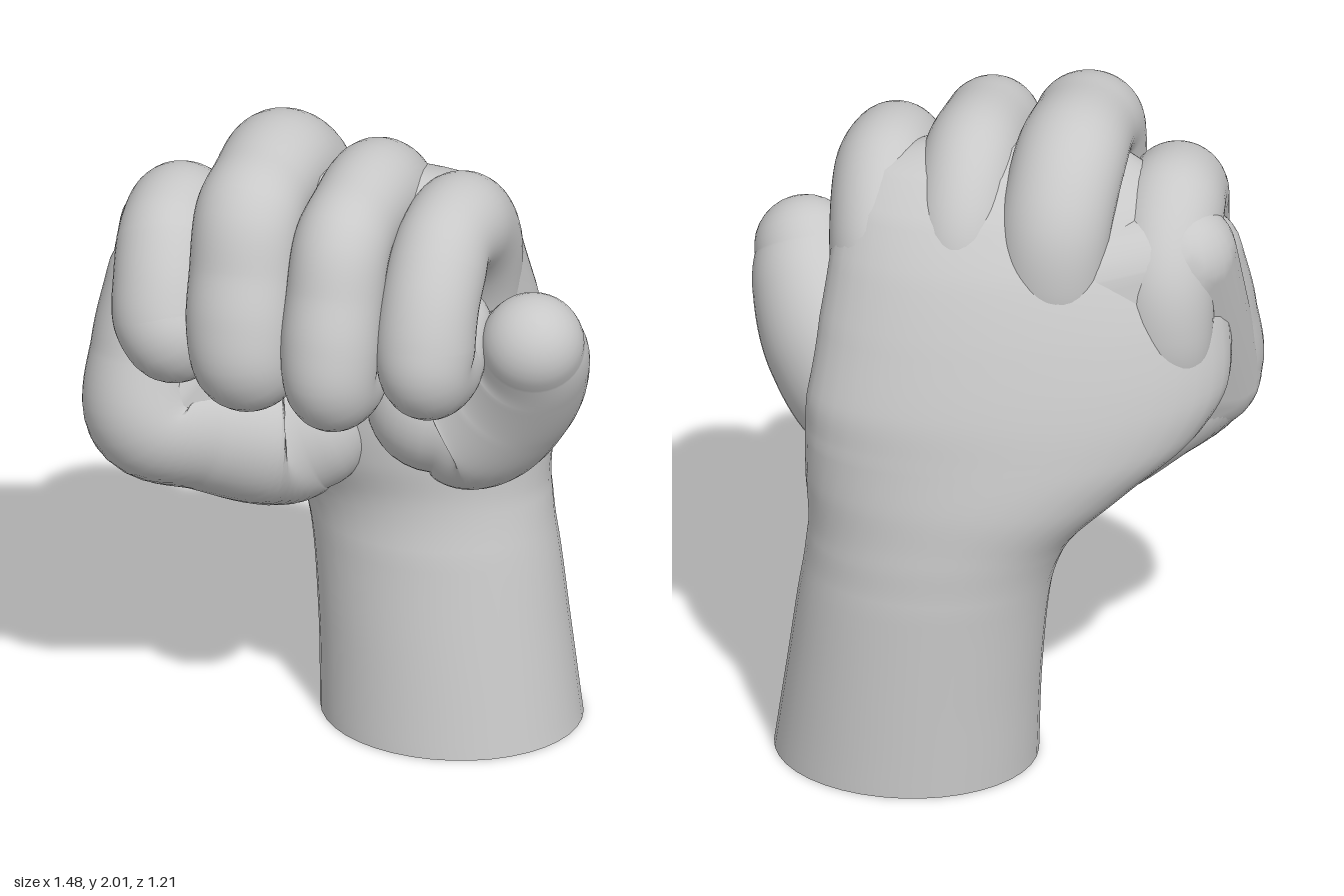
import * as THREE from 'three';
import { ConvexGeometry } from 'three/addons/geometries/ConvexGeometry.js';
import { mergeVertices } from 'three/addons/utils/BufferGeometryUtils.js';

const V = (x, y, z) => new THREE.Vector3(x, y, z);
const SIDES = 40;

// Smooth skin over rings of equal point count
function skin(rings) {
  const n = rings[0].length, pos = [], idx = [];
  rings.forEach(r => r.forEach(p => pos.push(p.x, p.y, p.z)));
  for (let i = 0; i < rings.length - 1; i++) {
    for (let j = 0; j < n; j++) {
      const a = i * n + j, b = i * n + (j + 1) % n;
      idx.push(a, b, a + n, b, b + n, a + n);
    }
  }
  const g = new THREE.BufferGeometry();
  g.setAttribute('position', new THREE.Float32BufferAttribute(pos, 3));
  g.setIndex(idx);
  g.computeVertexNormals();
  return g;
}

function ring(c, s, n, ra, rb) {
  return Array.from({ length: SIDES }, (_, j) => {
    const a = j / SIDES * Math.PI * 2;
    return c.clone().addScaledVector(s, Math.cos(a) * ra).addScaledVector(n, Math.sin(a) * rb);
  });
}

// Round-ended limb along points [x, y, z, half width, half depth]
function limb(pts, side, steps = 44) {
  const path = new THREE.CatmullRomCurve3(pts.map(p => V(p[0], p[1], p[2])));
  const size = new THREE.CatmullRomCurve3(pts.map(p => V(p[3], p[4], 0)));
  const rings = [];
  const add = (t, lean) => {
    const c = path.getPoint(t), d = path.getTangent(t), r = size.getPoint(t);
    const s = side.clone().addScaledVector(d, -side.dot(d)).normalize();
    const n = d.clone().cross(s);
    const k = Math.max(Math.cos(lean), 0.002);
    c.addScaledVector(d, Math.sin(lean) * Math.min(r.x, r.y));
    rings.push(ring(c, s, n, r.x * k, r.y * k));
  };
  for (let i = 8; i > 0; i--) add(0, -i / 8 * Math.PI / 2);
  for (let i = 0; i <= steps; i++) add(i / steps, 0);
  for (let i = 1; i <= 8; i++) add(1, i / 8 * Math.PI / 2);
  return skin(rings);
}

// Smooth skin stretched over balls [x, y, z, radius]
function stretchedSkin(balls) {
  const points = [];
  balls.forEach(([x, y, z, r]) => {
    const p = new THREE.SphereGeometry(r, 28, 18).translate(x, y, z).attributes.position;
    for (let i = 0; i < p.count; i++) points.push(new THREE.Vector3().fromBufferAttribute(p, i));
  });
  const hull = new ConvexGeometry(points);
  hull.deleteAttribute('normal');
  const g = mergeVertices(hull, 1e-4);
  g.computeVertexNormals();
  return g;
}

// Forearm and palm: [y, centre x, centre z, half width, half depth, yaw]
const BODY = [
  [0, 0.21, -0.25, 0.39, 0.35, 0],
  [0.3, 0.18, -0.268, 0.375, 0.325, 0],
  [0.6, 0.14, -0.285, 0.37, 0.297, 0],
  [0.75, 0.1, -0.287, 0.39, 0.282, 0.06],
  [0.9, 0.02, -0.258, 0.48, 0.288, 0.17],
  [1.05, -0.07, -0.212, 0.58, 0.288, 0.26],
  [1.2, -0.11, -0.172, 0.62, 0.284, 0.3],
  [1.4, -0.11, -0.11, 0.6, 0.28, 0.3],
  [1.58, -0.08, -0.055, 0.55, 0.262, 0.29],
  [1.72, -0.04, -0.005, 0.49, 0.222, 0.28],
  [1.82, 0, 0.03, 0.38, 0.155, 0.27],
  [1.87, 0, 0.05, 0.18, 0.07, 0.27],
];

function bodyGeometry() {
  const mid = new THREE.CatmullRomCurve3(BODY.map(b => V(b[1], b[0], b[2])));
  const size = new THREE.CatmullRomCurve3(BODY.map(b => V(b[3], b[4], b[5])));
  const rings = [];
  for (let i = 0; i <= 77; i++) {
    const c = mid.getPoint(i / 77), r = size.getPoint(i / 77);
    const s = V(Math.cos(r.z), 0, -Math.sin(r.z));
    rings.push(ring(c, s, V(0, 1, 0).cross(s), r.x, r.y));
  }
  const tip = mid.getPoint(1);
  rings.push(rings[77].map(() => tip.clone()));
  return skin(rings);
}

// Curled finger: sunk knuckle, over the top, square middle joint, down the front, tip tucked in
function fingerGeometry({ base, top, bottom, peak, front, low, k, w, drop }) {
  const x = t => top + (bottom - top) * t, h = peak - low;
  return limb([
    [base, peak - 0.66, k - 0.12, w * 0.8, 0.1],
    [base, peak - 0.48, k - 0.14, w * 0.95, 0.14],
    [(base + top) / 2, peak - 0.29, k - 0.09, w, 0.16],
    [top, peak - 0.16, k + 0.05, w, 0.158],
    [x(0.1), peak - 0.155, (k + front) / 2 - 0.07, w * 0.94, 0.143],
    [x(0.2), peak - drop, front - 0.27, w * 0.97, 0.15],
    [x(0.4), peak - 0.45 * h, front - 0.2, w * 0.97, 0.147],
    [x(0.6), low + 0.39 * h, front - 0.157, w * 0.98, 0.15],
    [x(0.9), low + 0.18, front - 0.15, w * 0.92, 0.147],
    [x(1), low + 0.142, front - 0.27, w * 0.85, 0.14],
    [x(1), low + 0.22, front - 0.38, w * 0.75, 0.11],
  ], V(1, 0, 0), 70);
}

const FINGERS = [
  { name: 'indexFinger', base: -0.52, top: -0.505, bottom: -0.43, peak: 1.82, front: 0.53, low: 1.235, k: 0.06, w: 0.155, drop: 0.18 },
  { name: 'middleFinger', base: -0.2, top: -0.22, bottom: -0.18, peak: 2, front: 0.6, low: 1.22, k: -0.03, w: 0.165, drop: 0.195 },
  { name: 'ringFinger', base: 0.07, top: 0.075, bottom: 0.09, peak: 1.955, front: 0.6, low: 1.2, k: -0.03, w: 0.148, drop: 0.2 },
  { name: 'littleFinger', base: 0.3, top: 0.335, bottom: 0.35, peak: 1.89, front: 0.5, low: 1.235, k: -0.03, w: 0.15, drop: 0.21 },
];

export function createModel() {
  const group = new THREE.Group();
  group.name = 'clenchedHand';
  const grey = new THREE.MeshStandardMaterial({ color: 0xc8c8c8 });
  grey.name = 'clay grey';
  const add = (name, geometry) => {
    const m = new THREE.Mesh(geometry, grey);
    m.name = name;
    group.add(m);
    return m;
  };

  add('forearmAndPalm', bodyGeometry());

  // Flat cut under the forearm
  const cut = add('forearmBase', new THREE.CircleGeometry(1, SIDES));
  cut.scale.set(0.39, 0.35, 1);
  cut.rotation.x = Math.PI / 2;
  cut.position.set(0.21, 0, -0.25);

  FINGERS.forEach(f => add(f.name, fingerGeometry(f)));

  // Web from wrist and index knuckle out to the bent joint
  add('thumbWeb', stretchedSkin([
    [-0.55, 1.56, 0.02, 0.168],
    [-0.56, 1.07, 0.25, 0.18],
    [-0.3, 1.2, -0.1, 0.2],
    [-0.1, 0.96, -0.18, 0.2],
    [-0.25, 1.5, -0.09, 0.18],
  ]));

  // Fleshy pad running out to the bent joint, then up behind the fingers
  add('foldedThumb', limb([
    [-0.16, 1.0, -0.01, 0.2, 0.22],
    [-0.24, 0.97, 0.02, 0.23, 0.235],
    [-0.42, 1.02, 0.15, 0.205, 0.21],
    [-0.55, 1.08, 0.26, 0.187, 0.187],
    [-0.57, 1.28, 0.23, 0.16, 0.16],
    [-0.55, 1.48, 0.18, 0.15, 0.15],
  ], V(0.5, 0, -1).normalize()));

  // Pad and rounded stub on the little finger side
  add('outerPad', limb([
    [0.24, 1.1, -0.05, 0.21, 0.21],
    [0.33, 1.09, -0.08, 0.25, 0.25],
    [0.47, 1.21, -0.04, 0.22, 0.22],
    [0.56, 1.34, 0.04, 0.178, 0.178],
    [0.59, 1.42, 0.1, 0.152, 0.152],
  ], V(0, 0, 1)));

  return group;
}
